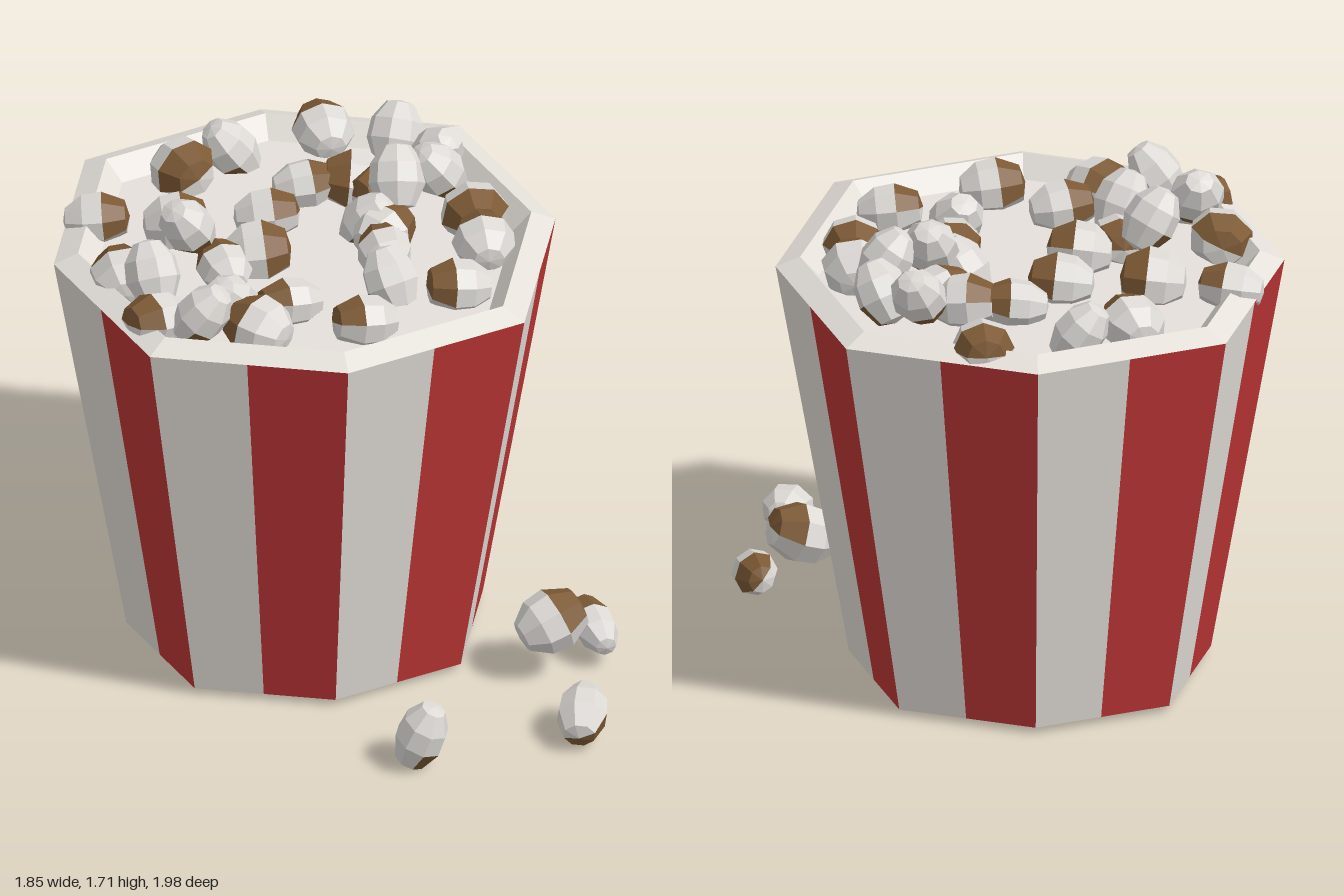
import * as THREE from 'three';

const mat = (name, color, side = THREE.FrontSide) => {
  const m = new THREE.MeshStandardMaterial({ color, flatShading: true, side });
  m.name = name;
  return m;
};

// Octagon loop of 16 points (corners and stripe edges), anticlockwise from above
const CX = -0.06, CZ = -0.14;
function loop(radius, y) {
  const corner = k => {
    const r = radius * (k % 2 ? 1.055 : 1), a = k * Math.PI / 4;
    return new THREE.Vector3(CX - r * Math.cos(a), y, CZ + r * Math.sin(a));
  };
  const pts = [];
  for (let k = 0; k < 8; k++) pts.push(corner(k), corner(k).lerp(corner(k + 1), 0.49));
  return pts;
}

// Quads between two loops; start and step choose which ones
function band(a, b, start = 0, step = 1) {
  const pts = [];
  for (let i = start; i < 16; i += step) {
    const j = (i + 1) % 16;
    pts.push(a[i], a[j], b[j], a[i], b[j], b[i]);
  }
  const g = new THREE.BufferGeometry().setFromPoints(pts);
  g.computeVertexNormals();
  return g;
}

// Horizontal plate through points of equal height
function plate(pts) {
  const shape = new THREE.Shape(pts.map(p => new THREE.Vector2(p.x, -p.z)));
  return new THREE.ShapeGeometry(shape).rotateX(-Math.PI / 2).translate(0, pts[0].y, 0);
}

// Lower layer of popcorn: x, z, heading of the brown end in degrees from +x towards +z
const LOWER = [
  [0.12, -0.81, 265], [-0.39, -0.65, 70], [0, -0.48, 0], [0.17, -0.47, 190], [0.25, -0.4, 150],
  [-0.73, -0.38, 10], [-0.47, -0.31, 5], [-0.16, -0.31, 5], [0.21, -0.14, 320], [0.53, -0.2, 90],
  [0.19, -0.01, 265], [0.53, -0.01, 270], [-0.23, -0.08, 5], [-0.36, 0, 260], [-0.71, 0, 270],
  [-0.64, 0.29, 160], [-0.18, 0.26, 170], [-0.31, 0.4, 225], [0.4, 0.25, 180], [0.05, 0.42, 175],
];
// Upper layer, brown end hidden underneath: x, z, y
const UPPER = [
  [-0.21, -0.73, 1.49], [0.33, -0.6, 1.57], [0.45, -0.5, 1.54], [0.43, -0.33, 1.58],
  [0.28, -0.28, 1.6], [0.17, -0.21, 1.48], [-0.47, -0.09, 1.6], [-0.63, 0.14, 1.57],
  [-0.5, 0.38, 1.54], [-0.38, 0.25, 1.5], [0.18, 0.17, 1.48],
];
// Spilled on the ground: position, direction of the brown end, side of the brown patch, radius
const SPILLED = [
  [[0.16, 0.115, 0.89], [-0.35, -0.9, -0.1], [1, 0, 0], 0.09],
  [[0.725, 0.095, 0.81], [-0.25, -0.25, 0.9], [0.3, -1, 0], 0.085],
  [[0.69, 0.205, 0.39], [0.8, 0.3, -0.2], [0, 1, 0], 0.11],
  [[0.855, 0.11, 0.29], [-0.2, 0.2, -0.95], [1, 0.8, 0], 0.075],
];
const PROFILE = [[0, -1], [0.62, -0.88], [1, -0.2], [0.93, 0.4], [0.5, 0.92], [0, 1]]
  .map(([r, y]) => new THREE.Vector2(r, y));

export function createModel() {
  const model = new THREE.Group();
  const red = mat('red', 0xbd3637, THREE.DoubleSide);
  const white = mat('white', 0xe5e0da, THREE.DoubleSide);
  const puff = mat('popped corn', 0xdcd9d5);
  const brown = mat('brown husk', 0x7d5a36);
  const add = (name, geometry, material, parent = model) => {
    const m = new THREE.Mesh(geometry, material);
    m.name = name;
    parent.add(m);
  };

  // Bucket walls: white and red stripes alternate on half sides
  const base = loop(0.61, 0.02), top = loop(0.858, 1.465);
  const lip = loop(0.775, 1.5), floor = loop(0.712, 1.43);
  add('whiteStripes', band(base, top, 0, 2), white);
  add('redStripes', band(base, top, 1, 2), red);
  add('innerWall', band(loop(0.843, 1.43), loop(0.605, 0.02)), red);
  add('rim', band(top, lip), white);
  add('rimInside', band(lip, floor), white);
  add('filling', plate(floor), white);

  // Partly open base
  const inner = loop(0.3, 0.02);
  add('base', plate([...base.slice(1, 12), inner[8], inner[6], inner[4]]), red);

  // Popcorn: faceted kernels with a brown patch on one side of one end
  const body = new THREE.LatheGeometry(PROFILE.slice(2), 8);
  const husk = new THREE.LatheGeometry(PROFILE.slice(0, 3), 4, -Math.PI / 2, Math.PI);
  const end = new THREE.LatheGeometry(PROFILE.slice(0, 3), 4, Math.PI / 2, Math.PI);
  const addKernel = (name, position, brownEnd, patchSide, radius, length) => {
    const kernel = new THREE.Group();
    kernel.name = name;
    add('puff', body, puff, kernel);
    add('puffEnd', end, puff, kernel);
    add('husk', husk, brown, kernel);
    const y = new THREE.Vector3(...brownEnd).normalize().negate();
    const x = y.clone().cross(new THREE.Vector3(...patchSide)).normalize();
    const z = x.clone().cross(y);
    kernel.quaternion.setFromRotationMatrix(new THREE.Matrix4().makeBasis(x, y, z));
    kernel.position.set(...position);
    kernel.scale.set(radius * 1.05, length, radius * 0.95);
    model.add(kernel);
  };
  LOWER.forEach(([x, z, heading], i) => {
    const a = THREE.MathUtils.degToRad(heading), roll = 0.5 * Math.sin(i * 1.7);
    addKernel('lowerPopcorn', [x, 1.48, z], [Math.cos(a), 0.1, Math.sin(a)],
      [-roll * Math.sin(a), 1, roll * Math.cos(a)], 0.1 + 0.012 * Math.sin(i * 2.3), 0.113);
  });
  UPPER.forEach(([x, z, y], i) => {
    const dx = Math.cos(i * 2), dz = Math.sin(i * 2);
    addKernel('upperPopcorn', [x, y, z], [0.6 * dx, -0.8, 0.6 * dz], [0, -1, 0], 0.092, 0.115);
  });
  SPILLED.forEach(values => addKernel('spilledPopcorn', ...values, 0.122));
  return model;
}
